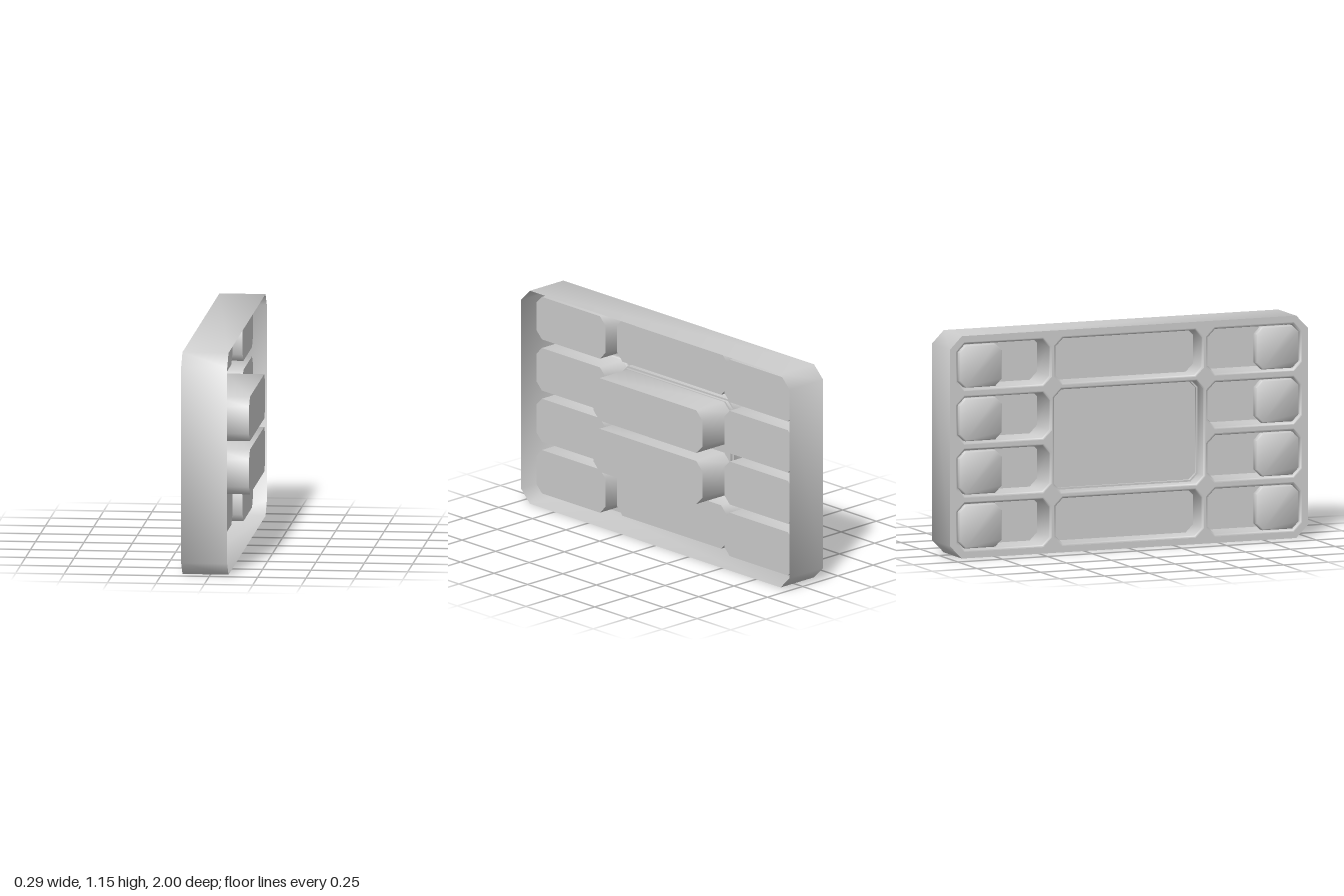
import * as THREE from 'three';
import { toCreasedNormals } from 'three/addons/utils/BufferGeometryUtils.js';

const BACK = -0.145, RIM = 0.093, FLARE = 0.012;
const material = new THREE.MeshStandardMaterial({ color: 0xcccccc, side: THREE.DoubleSide });

// Chamfered rectangle in the z-y plane, grown by an offset
function outline({ z0, z1, y0, y1, c }, grow = 0) {
  const a = z0 - grow, b = z1 + grow, d = y0 - grow, e = y1 + grow, k = c + grow * 0.58;
  return [[a + k, d], [b - k, d], [b, d + k], [b, e - k], [b - k, e], [a + k, e], [a, e - k], [a, d + k]];
}

// Wall lofted along x through [x, grow] sections, with optional end caps
function loft(rect, sections, capEnd = true, capStart = false) {
  const pos = [], index = [], n = 8;
  for (const [x, grow] of sections)
    for (const [z, y] of outline(rect, grow)) pos.push(x, y, z);
  for (let s = 0; s < sections.length - 1; s++)
    for (let i = 0; i < n; i++) {
      const a = s * n + i, b = s * n + (i + 1) % n;
      index.push(a, a + n, b, b, a + n, b + n);
    }
  const last = (sections.length - 1) * n;
  for (let i = 1; i < n - 1; i++) {
    if (capEnd) index.push(last, last + i + 1, last + i);
    if (capStart) index.push(0, i, i + 1);
  }
  const g = new THREE.BufferGeometry();
  g.setAttribute('position', new THREE.Float32BufferAttribute(pos, 3));
  g.setIndex(index);
  return toCreasedNormals(g, 0.9);
}

// Rounded mouth that narrows from the back sheet into a pocket
function mouth() {
  const pts = [];
  for (let i = 0; i <= 5; i++) {
    const t = (i / 5) * Math.PI / 2;
    pts.push([BACK + FLARE * (1 - Math.cos(t)), FLARE * (1 - Math.sin(t))]);
  }
  return pts;
}

export function createModel() {
  const group = new THREE.Group();
  const add = (name, geometry) => {
    const mesh = new THREE.Mesh(geometry, material);
    mesh.name = name;
    group.add(mesh);
  };

  const body = { z0: -1, z1: 1, y0: 0, y1: 1.155, c: 0.067 };
  const rows = [[0.045, 0.28], [0.325, 0.558], [0.602, 0.833], [0.88, 1.11]];
  const pockets = [];

  // Outer skirt, open towards +x
  add('skirt', loft(body, [[BACK, 0], [RIM, 0]], false));

  // Side pockets, mirrored, each half covered by a thin tab in its mouth
  for (const side of [-1, 1])
    for (const [y0, y1] of rows) {
      const z = [side * 0.443, side * 0.955].sort((a, b) => a - b);
      const rect = { z0: z[0], z1: z[1], y0, y1, c: 0.04 };
      pockets.push(rect);
      add('sidePocket', loft(rect, [...mouth(), [0.025, 0]]));

      const t = [side * 0.71, side * 0.948].sort((a, b) => a - b);
      const tab = { z0: t[0], z1: t[1], y0: y0 + 0.005, y1: y1 - 0.005, c: 0.035 };
      add('pocketTab', loft(tab, [[BACK, -0.006], [BACK + 0.006, 0], [BACK + 0.035, 0]], true, true));
    }

  // Shallower long pockets at the top and bottom of the middle
  for (const [y0, y1] of [rows[0], rows[3]]) {
    const rect = { z0: -0.407, z1: 0.407, y0, y1, c: 0.04 };
    pockets.push(rect);
    add('longPocket', loft(rect, [...mouth(), [-0.025, 0]]));
  }

  // Large central pocket with a stepped floor
  const centre = { z0: -0.415, z1: 0.415, y0: 0.315, y1: 0.845, c: 0.04 };
  pockets.push(centre);
  add('centrePocket', loft(centre, [...mouth(), [-0.07, 0], [-0.07, -0.009], [-0.053, -0.009]]));

  // Two raised blocks standing on the central pocket
  for (const [y0, y1] of [rows[1], rows[2]])
    add('raisedBlock', loft({ z0: -0.405, z1: 0.405, y0, y1, c: 0.045 }, [[-0.053, 0], [0.145, 0]]));

  // Back sheet with the pocket mouths cut out
  const toPoints = (list) => list.map(([z, y]) => new THREE.Vector2(z, y));
  const sheet = new THREE.Shape(toPoints(outline(body)));
  for (const rect of pockets)
    sheet.holes.push(new THREE.Path(toPoints(outline(rect, FLARE)).reverse()));
  const geometry = new THREE.ShapeGeometry(sheet);
  geometry.rotateY(-Math.PI / 2);
  geometry.translate(BACK, 0, 0);
  add('backSheet', geometry);

  return group;
}
